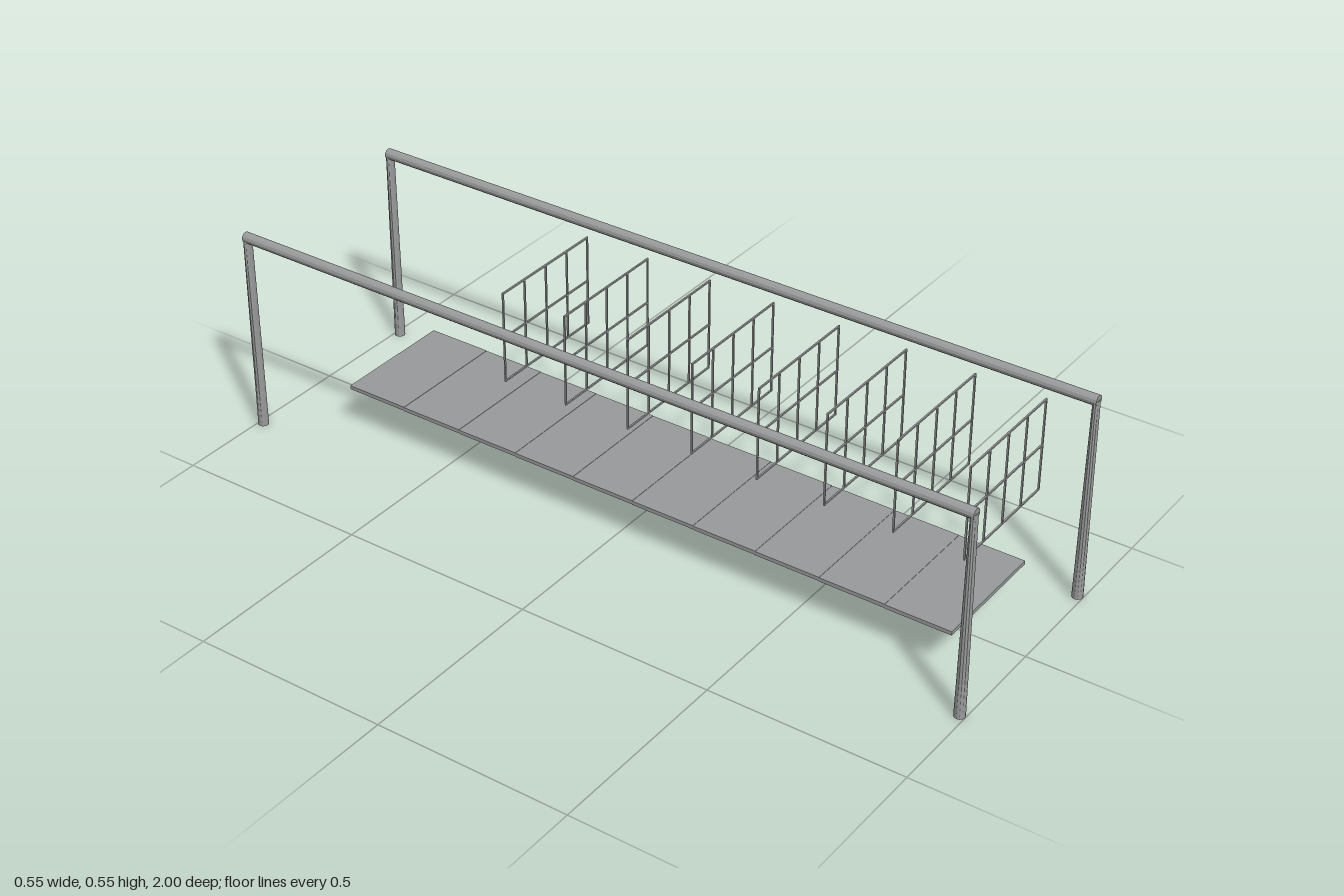
import * as THREE from 'three';

const PIPE_R = 0.0135, RAIL_X = 0.262, RAIL_Y = 0.5225, LEG_Z = 0.9865;

export function createModel() {
  const group = new THREE.Group();
  const steel = new THREE.MeshStandardMaterial({ color: 0x9a9b9c, flatShading: true });
  steel.name = 'grey steel';

  const add = (parent, geometry, name, x, y, z) => {
    const mesh = new THREE.Mesh(geometry, steel);
    mesh.name = name;
    mesh.position.set(x, y, z);
    parent.add(mesh);
    return mesh;
  };

  // Legs narrow from front to back towards the rail
  const legGeo = new THREE.CylinderGeometry(PIPE_R, PIPE_R, RAIL_Y, 12);
  const p = legGeo.attributes.position;
  for (let i = 0; i < p.count; i++) {
    if (p.getY(i) > 0) p.setZ(i, p.getZ(i) * 0.55);
  }
  legGeo.computeVertexNormals();
  const railGeo = new THREE.CylinderGeometry(PIPE_R, PIPE_R, 1.984, 12).rotateX(Math.PI / 2);

  // Two handrails, each a long pipe on two legs
  for (const side of [-1, 1]) {
    const rail = new THREE.Group();
    rail.name = side > 0 ? 'leftHandrail' : 'rightHandrail';
    add(rail, railGeo, 'railPipe', side * RAIL_X, RAIL_Y, 0);
    for (const end of [-1, 1]) {
      add(rail, legGeo, end > 0 ? 'frontLeg' : 'backLeg', side * RAIL_X, RAIL_Y / 2, end * LEG_Z);
    }
    group.add(rail);
  }

  // Walkway of planks, each a hair higher than the one in front
  const deck = new THREE.Group();
  deck.name = 'walkway';
  const planks = 10, front = 0.9, plankLength = 1.685 / planks;
  const plankGeo = new THREE.BoxGeometry(0.32, 0.01, plankLength);
  for (let i = 0; i < planks; i++) {
    add(deck, plankGeo, 'plank', 0, 0.117 + i * 0.001, front - (i + 0.5) * plankLength);
  }
  group.add(deck);

  // Row of hanging wire grids
  const BAR = 0.004, bottom = 0.32, top = 0.552;
  const uprightGeo = new THREE.BoxGeometry(BAR, top - bottom, BAR);
  const crossGeo = new THREE.BoxGeometry(0.32 + BAR, BAR, BAR);
  for (let i = 0; i < 8; i++) {
    const grid = new THREE.Group();
    grid.name = 'wireGrid';
    grid.position.z = 0.917 - i * 0.174;
    for (let c = -2; c <= 2; c++) add(grid, uprightGeo, 'upright', c * 0.08, (top + bottom) / 2, 0);
    for (let r = 0; r < 3; r++) add(grid, crossGeo, 'crossbar', 0, bottom + r * (top - bottom) / 2, 0);
    group.add(grid);
  }

  return group;
}
